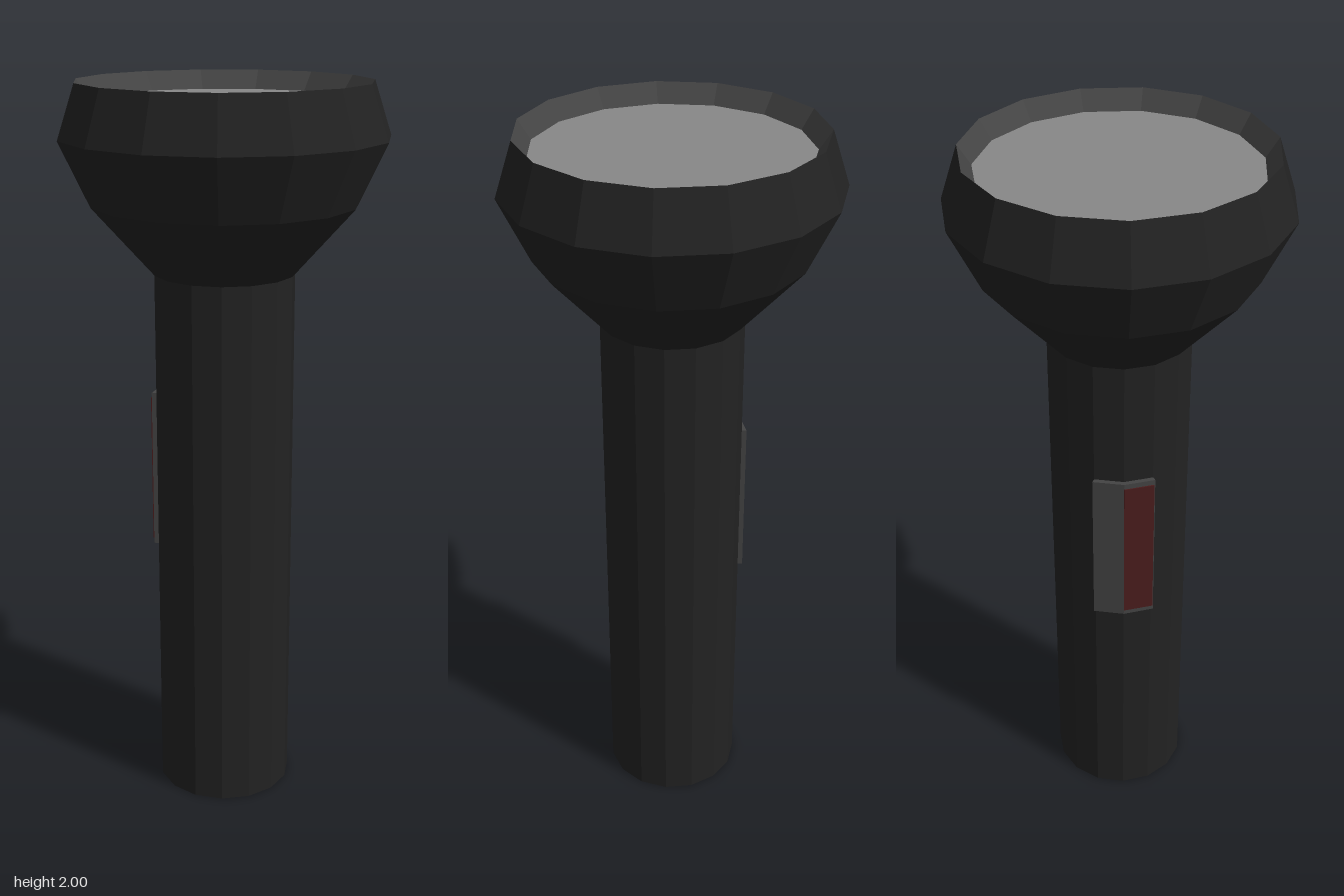
import * as THREE from 'three';

const SIDES = 15;

function material(name, color) {
  const m = new THREE.MeshStandardMaterial({ color });
  m.name = name;
  return m;
}

// Faceted turned part: profile as [radius, y], with a corner pointing to -z
function turned(name, profile, mat) {
  const points = profile.map(([r, y]) => new THREE.Vector2(r, y));
  return mesh(name, new THREE.LatheGeometry(points, SIDES, Math.PI), mat);
}

function mesh(name, geometry, mat) {
  const flat = geometry.index ? geometry.toNonIndexed() : geometry;
  flat.computeVertexNormals();
  const m = new THREE.Mesh(flat, mat);
  m.name = name;
  return m;
}

// Upright shell that follows the facets of the handle
function shell(name, angles, inner, outer, y0, y1, mat) {
  const at = (r, deg) => {
    const a = THREE.MathUtils.degToRad(deg);
    return new THREE.Vector2(r * Math.sin(a), -r * Math.cos(a));
  };
  const shape = new THREE.Shape([
    ...angles.map((a) => at(outer, a)),
    ...[...angles].reverse().map((a) => at(inner, a)),
  ]);
  const geo = new THREE.ExtrudeGeometry(shape, { depth: y1 - y0, bevelEnabled: false });
  geo.rotateX(-Math.PI / 2).translate(0, y0, 0);
  return mesh(name, geo, mat);
}

export function createModel() {
  const black = material('black casing', 0x222222);
  const grey = material('dark grey trim', 0x444444);
  const red = material('dark red button', 0x4a1c1c);
  const glass = material('grey lens', 0x888888);

  const model = new THREE.Group();
  model.name = 'flashlight';

  // Handle with a closed base
  const handle = new THREE.CylinderGeometry(0.19, 0.19, 1.52, SIDES, 1, false, Math.PI);
  handle.translate(0, 0.76, 0);
  model.add(mesh('handle', handle, black));

  // Flared head, reflector rim and lens
  model.add(turned('head', [[0.18, 1.505], [0.19, 1.505], [0.355, 1.69], [0.435, 1.86], [0.388, 2]], black));
  model.add(turned('innerRim', [[0.388, 2], [0.355, 1.95]], grey));
  const lens = new THREE.CircleGeometry(0.355, SIDES, Math.PI / 2);
  lens.rotateX(-Math.PI / 2).translate(0, 1.95, 0);
  model.add(mesh('lens', lens, glass));

  // Switch wrapped over two facets on the side, with a thin button plate
  const sw = new THREE.Group();
  sw.name = 'switch';
  sw.add(shell('switchBase', [-108, -84, -60], 0.17, 0.203, 0.71, 1.16, grey));
  sw.add(shell('switchButton', [-84, -61], 0.2, 0.206, 0.725, 1.145, red));
  model.add(sw);

  return model;
}
